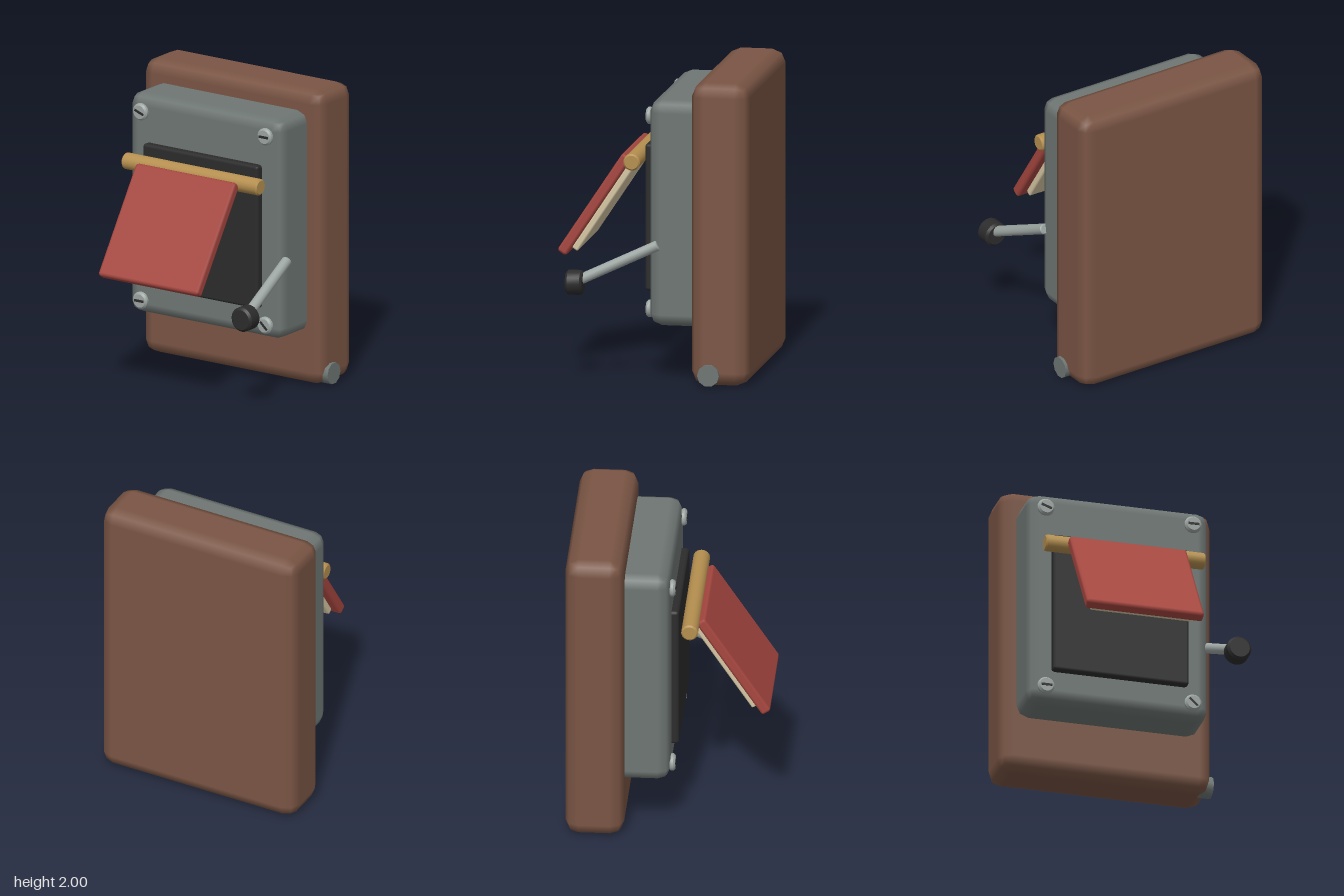
import * as THREE from 'three';
import { toCreasedNormals } from 'three/addons/utils/BufferGeometryUtils.js';
import { RoundedBoxGeometry } from 'three/addons/geometries/RoundedBoxGeometry.js';

const material = (name, color) => {
  const m = new THREE.MeshStandardMaterial({ color });
  m.name = name;
  return m;
};

export function createModel() {
  const wood = material('wood', 0x7a5544);
  const iron = material('iron', 0x6e7673);
  const black = material('black', 0x2c2c2c);
  const red = material('red', 0xa6463f);
  const brass = material('brass', 0xb58f4f);
  const cream = material('cream', 0xd6c7a4);
  const steel = material('steel', 0x9ca5a1);

  const model = new THREE.Group();
  model.name = 'wallSwitch';
  const midX = -0.018;

  const add = (name, geometry, mat, x, y, z, parent = model) => {
    const mesh = new THREE.Mesh(geometry, mat);
    mesh.name = name;
    mesh.position.set(x, y, z);
    parent.add(mesh);
    return mesh;
  };
  // Box with one-step bevelled edges
  const block = (w, h, d, r) => new RoundedBoxGeometry(w, h, d, 1, r);
  // Cylinder along y with chamfered rims
  const pin = (r, h, c, sides = 24) => {
    const profile = [[0, -h / 2], [r - c, -h / 2], [r, -h / 2 + c], [r, h / 2 - c], [r - c, h / 2], [0, h / 2]];
    const lathe = new THREE.LatheGeometry(profile.map(([x, y]) => new THREE.Vector2(x, y)), sides);
    return toCreasedNormals(lathe, 0.6);
  };

  // Backboard, housing and recessed-looking face panel
  add('backboard', block(1.436, 2, 0.385, 0.09), wood, midX, 1, -0.4675);
  add('housing', block(1.226, 1.495, 0.42, 0.08), iron, midX, 1.113, -0.19);
  add('facePanel', block(0.92, 0.97, 0.09, 0.02), black, midX, 1.06, 0.025);

  // Hinge rod
  add('hingeRod', pin(0.055, 1.08, 0.01), brass, midX, 1.436, 0.144).rotation.z = Math.PI / 2;

  // Flap hanging open from the hinge, with its lining
  const flap = new THREE.Group();
  flap.name = 'flap';
  flap.position.set(midX, 1.12, 0.419);
  flap.rotation.x = THREE.MathUtils.degToRad(-33.5);
  model.add(flap);
  add('flapCover', block(0.795, 0.79, 0.07, 0.02), red, 0, 0, 0, flap);
  add('flapLining', block(0.69, 0.7, 0.045, 0.012), cream, 0, 0.014, -0.056, flap);

  // Corner screws, each with its slot turned differently
  const screws = [[-1, 1, -20], [1, 1, 0], [-1, -1, 0], [1, -1, -43]];
  for (const [sx, sy, turn] of screws) {
    const screw = new THREE.Group();
    screw.name = 'screw';
    screw.position.set(-0.02 + sx * 0.497, 1.106 + sy * 0.64, 0.03);
    screw.rotation.z = THREE.MathUtils.degToRad(turn);
    model.add(screw);
    add('screwHead', pin(0.057, 0.04, 0.012), steel, 0, 0, 0, screw).rotation.x = Math.PI / 2;
    add('screwSlot', new THREE.BoxGeometry(0.074, 0.016, 0.006), black, 0, 0, 0.02, screw);
  }

  // Side lever and its knob
  const top = new THREE.Vector3(0.597, 0.908, -0.045);
  const tip = new THREE.Vector3(0.647, 0.66, 0.49);
  const axis = tip.clone().sub(top);
  const middle = top.clone().lerp(tip, 0.5);
  const lever = add('leverRod', pin(0.035, axis.length(), 0.006, 16), steel, middle.x, middle.y, middle.z);
  lever.quaternion.setFromUnitVectors(new THREE.Vector3(0, 1, 0), axis.normalize());
  add('leverKnob', pin(0.082, 0.113, 0.015), black, 0.648, 0.655, 0.494).rotation.x = Math.PI / 2;

  // Cable stub low on the side of the backboard
  const stub = new THREE.CylinderGeometry(0.073, 0.073, 0.12, 10);
  add('cableStub', toCreasedNormals(stub, 0.8), iron, 0.66, 0.078, -0.4).rotation.z = Math.PI / 2;

  return model;
}
